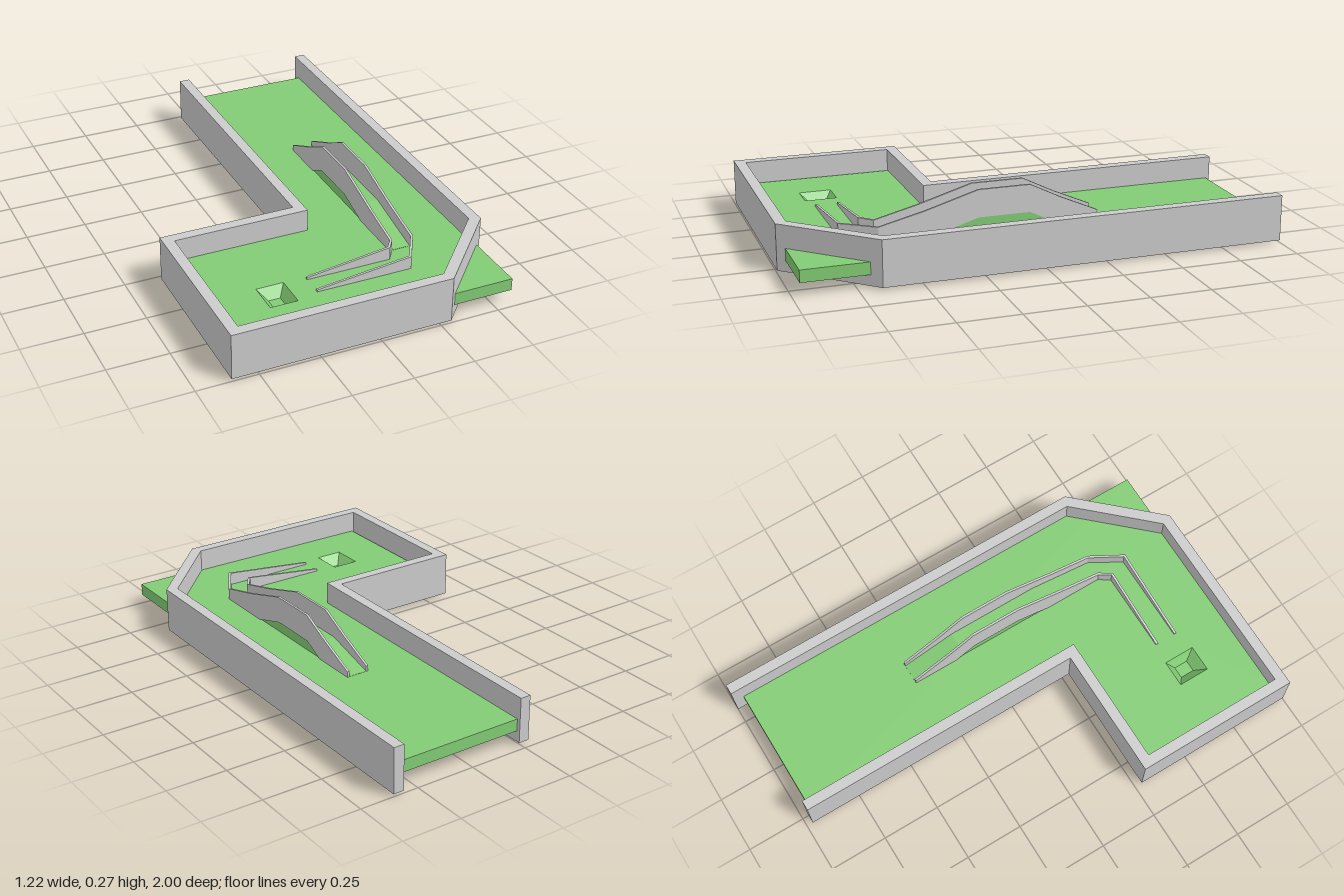
import * as THREE from 'three';

const turf = new THREE.MeshStandardMaterial({ color: 0x82cb74 });
turf.name = 'turfGreen';
const stone = new THREE.MeshStandardMaterial({ color: 0xcbcbcb });
stone.name = 'stoneGrey';

// Flat-shaded geometry from a list of four-cornered faces
function quads(faces) {
  const pos = [];
  for (const [a, b, c, d] of faces) pos.push(...a, ...b, ...c, ...a, ...c, ...d);
  const g = new THREE.BufferGeometry();
  g.setAttribute('position', new THREE.Float32BufferAttribute(pos, 3));
  g.computeVertexNormals();
  return g;
}

// Upright band with mitred corners along [x, z, topY] points
function band(path, height, width) {
  const side = (p, q) => new THREE.Vector2(p[1] - q[1], q[0] - p[0]).normalize();
  const rings = path.map((p, i) => {
    const a = side(path[Math.max(i - 1, 0)], path[Math.max(i, 1)]);
    const last = path.length - 1;
    const b = side(path[Math.min(i, last - 1)], path[Math.min(i + 1, last)]);
    const n = a.clone().add(b).normalize();
    n.multiplyScalar(width / 2 / n.dot(a));
    const [x, z, y] = p;
    return [
      [x + n.x, y, z + n.y], [x - n.x, y, z - n.y],
      [x - n.x, y - height, z - n.y], [x + n.x, y - height, z + n.y],
    ];
  });
  const faces = [rings[0], [...rings[rings.length - 1]].reverse()];
  for (let i = 0; i + 1 < rings.length; i++) {
    for (let k = 0; k < 4; k++) {
      const m = (k + 1) % 4;
      faces.push([rings[i][k], rings[i + 1][k], rings[i + 1][m], rings[i][m]]);
    }
  }
  return quads(faces);
}

export function createModel() {
  const model = new THREE.Group();
  model.name = 'miniGolfCourse';
  const add = (name, geometry, material) => {
    const mesh = new THREE.Mesh(geometry, material);
    mesh.name = name;
    model.add(mesh);
    return mesh;
  };
  const points = (list) => list.map(([x, y]) => new THREE.Vector2(x, y));

  // L-shaped floor slab with a rectangular opening for the cup
  const base = 0.055, top = 0.106;
  const x0 = -0.355, x1 = -0.24, z0 = 0.635, z1 = 0.77;
  const outline = new THREE.Shape(points([
    [-0.555, -0.97], [0.573, -0.97], [0.573, 0.957], [-0.005, 0.957], [-0.005, -0.315], [-0.555, -0.315],
  ]));
  outline.holes.push(new THREE.Path(points([[x0, -z0], [x1, -z0], [x1, -z1], [x0, -z1]])));
  const slab = new THREE.ExtrudeGeometry(outline, { depth: top - base, bevelEnabled: false });
  slab.rotateX(-Math.PI / 2).translate(0, base, 0);
  add('floor', slab, turf);

  // Cup: sloping sides down to a small flat bottom
  const rim = [[x0, top, z0], [x1, top, z0], [x1, top, z1], [x0, top, z1]];
  const low = [[-0.318, 0.063, 0.668], [-0.268, 0.063, 0.668], [-0.268, 0.063, 0.728], [-0.318, 0.063, 0.728]];
  add('cupSides', quads(rim.map((p, i) => [p, low[i], low[(i + 1) % 4], rim[(i + 1) % 4]])), turf);
  add('cupBottom', new THREE.BoxGeometry(x1 - x0, 0.008, z1 - z0), turf)
    .position.set((x0 + x1) / 2, base + 0.004, (z0 + z1) / 2);

  // Border wall, open at the back end
  const wall = [
    [0.585, -1], [0.585, 0.654], [0.284, 0.977], [-0.586, 0.977],
    [-0.586, 0.304], [-0.016, 0.304], [-0.016, -0.973],
  ].map(([x, z]) => [x, z, 0.2]);
  add('borderWall', band(wall, 0.19, 0.045), stone);

  // Ramp: a low green hump between the rails
  const hump = new THREE.Shape(points([
    [0.31, 0.1], [0.31, 0.107], [0.08, 0.168], [-0.32, 0.168], [-0.6, 0.107], [-0.6, 0.1],
  ]));
  const ramp = new THREE.ExtrudeGeometry(hump, { depth: 0.09, bevelEnabled: false });
  ramp.rotateY(Math.PI / 2).translate(0.24, 0, 0);
  add('ramp', ramp, turf);

  // Two guide rails that rise over the ramp and turn towards the cup
  const rails = [['innerRail', 0.24, 0.6, 0.205, 0.65], ['outerRail', 0.33, 0.605, 0.25, 0.742]];
  for (const [name, x, bendZ, cornerX, cornerZ] of rails) {
    add(name, band([
      [x, -0.31, 0.13], [x, -0.152, 0.2], [x, -0.02, 0.266], [x, 0.195, 0.266], [x, 0.42, 0.2],
      [x, bendZ, 0.155], [cornerX, cornerZ, 0.16], [-0.15, cornerZ, 0.115],
    ], 0.115, 0.01), stone);
  }
  return model;
}
